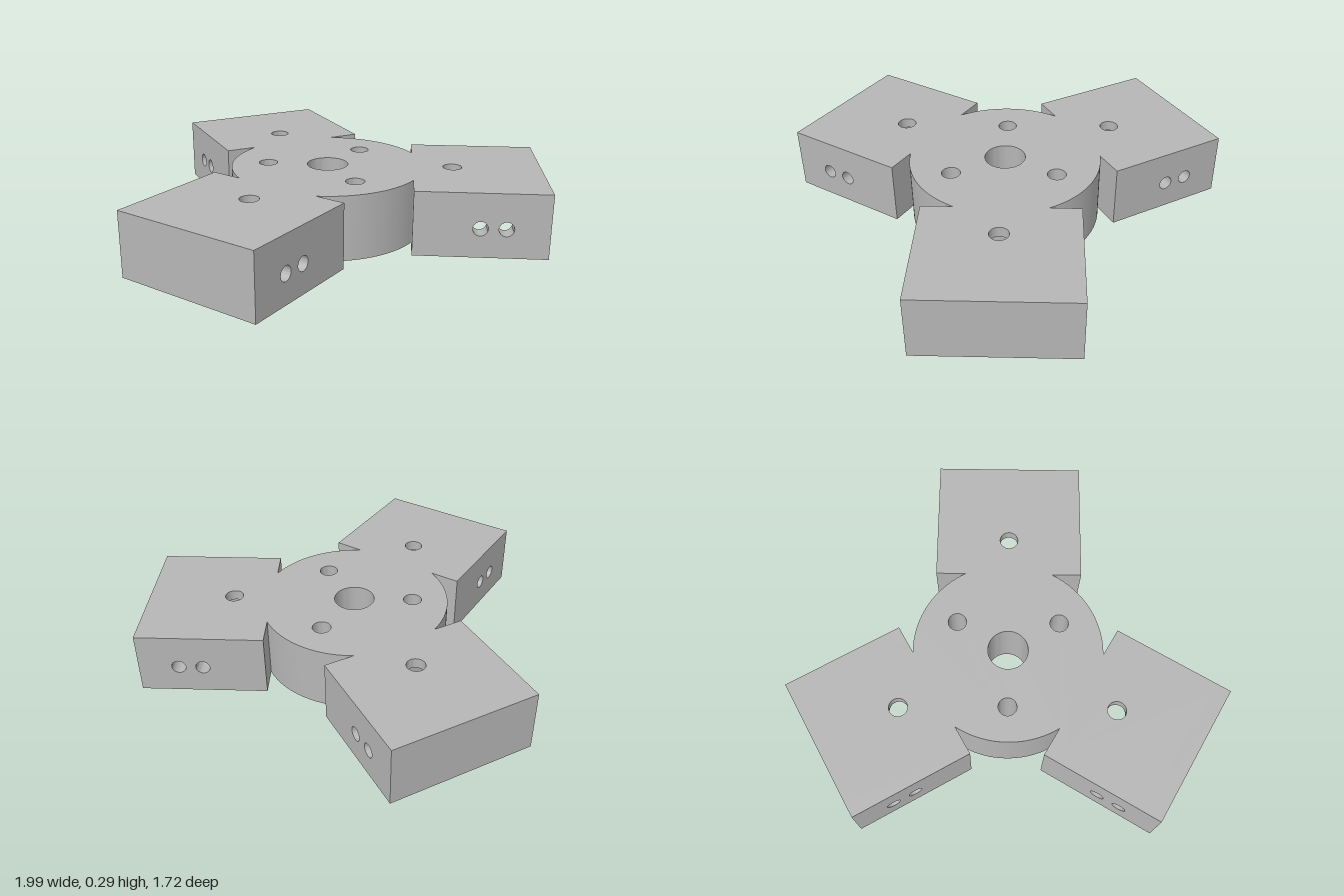
import * as THREE from 'three';
import { toCreasedNormals } from 'three/addons/utils/BufferGeometryUtils.js';

const H = 0.288;            // overall height
const R = 0.432;            // hub radius
const IN = 0.382, OUT = 0.953, HALF = 0.34; // arm: inner and outer distance, half width
const WALL = 0.075, ROOF = 0.048;
const THIRD = Math.PI * 2 / 3;

const addHole = (shape, x, y, r) =>
  shape.holes.push(new THREE.Path().absarc(x, y, r, 0, Math.PI * 2, true));

const rectangle = (x0, y0, x1, y1) => new THREE.Shape([
  new THREE.Vector2(x0, y0), new THREE.Vector2(x1, y0),
  new THREE.Vector2(x1, y1), new THREE.Vector2(x0, y1),
]);

const extrude = (shape, depth) => toCreasedNormals(
  new THREE.ExtrudeGeometry(shape, { depth, bevelEnabled: false, curveSegments: 32 }), 0.5);

// Hub disc joined to the inner wall of each arm
function hubShape() {
  const shape = new THREE.Shape();
  const inner = HALF - WALL, far = IN + WALL;
  const meet = Math.sqrt(R * R - IN * IN);
  const gap = Math.atan2(meet, IN);
  const outline = [[meet, IN], [inner, IN], [inner, far], [-inner, far], [-inner, IN], [-meet, IN]];
  for (let k = 0; k < 3; k++) {
    const turn = k * THIRD;
    outline.forEach(([x, y], i) => {
      const p = new THREE.Vector2(x, y).rotateAround(new THREE.Vector2(), turn);
      if (k === 0 && i === 0) shape.moveTo(p.x, p.y);
      else shape.lineTo(p.x, p.y);
    });
    const mid = Math.PI / 2 + turn;
    shape.absarc(0, 0, R, mid + gap, mid + THIRD - gap, false);
  }
  // Centre bore and three bolt holes
  addHole(shape, 0, 0, 0.092);
  for (let k = 0; k < 3; k++) {
    const a = Math.PI / 6 + k * THIRD;
    addHole(shape, Math.cos(a) * 0.27, Math.sin(a) * 0.27, 0.042);
  }
  return shape;
}

export function createModel() {
  const model = new THREE.Group();
  model.name = 'threeArmBracket';
  const grey = new THREE.MeshStandardMaterial({ color: 0xb6b6b6 });
  grey.name = 'grey';

  const add = (parent, geometry, name) => {
    const mesh = new THREE.Mesh(geometry, grey);
    mesh.name = name;
    parent.add(mesh);
    return mesh;
  };

  const body = new THREE.Group();
  body.name = 'body';
  body.position.z = 0.088;
  model.add(body);

  add(body, extrude(hubShape(), H).rotateX(-Math.PI / 2), 'hub');

  // Side wall with two cross holes
  const side = rectangle(IN, 0, OUT, H);
  addHole(side, 0.663, 0.13, 0.032);
  addHole(side, 0.771, 0.13, 0.032);
  const sideGeometry = extrude(side, WALL);

  // Roof over the open-bottomed pocket
  const roof = rectangle(IN + WALL, WALL - HALF, OUT - WALL, HALF - WALL);
  addHole(roof, 0.56, 0, 0.042);
  const roofGeometry = extrude(roof, ROOF).rotateX(-Math.PI / 2);

  const endGeometry = new THREE.BoxGeometry(WALL, H, 2 * (HALF - WALL));

  ['backArm', 'rightArm', 'leftArm'].forEach((name, k) => {
    const arm = new THREE.Group();
    arm.name = name;
    arm.rotation.y = Math.PI / 2 + k * THIRD;
    body.add(arm);
    add(arm, sideGeometry, 'sideWall').position.z = HALF - WALL;
    add(arm, sideGeometry, 'sideWall').position.z = -HALF;
    add(arm, roofGeometry, 'roof').position.y = H - ROOF;
    add(arm, endGeometry, 'endWall').position.set(OUT - WALL / 2, H / 2, 0);
  });

  return model;
}
